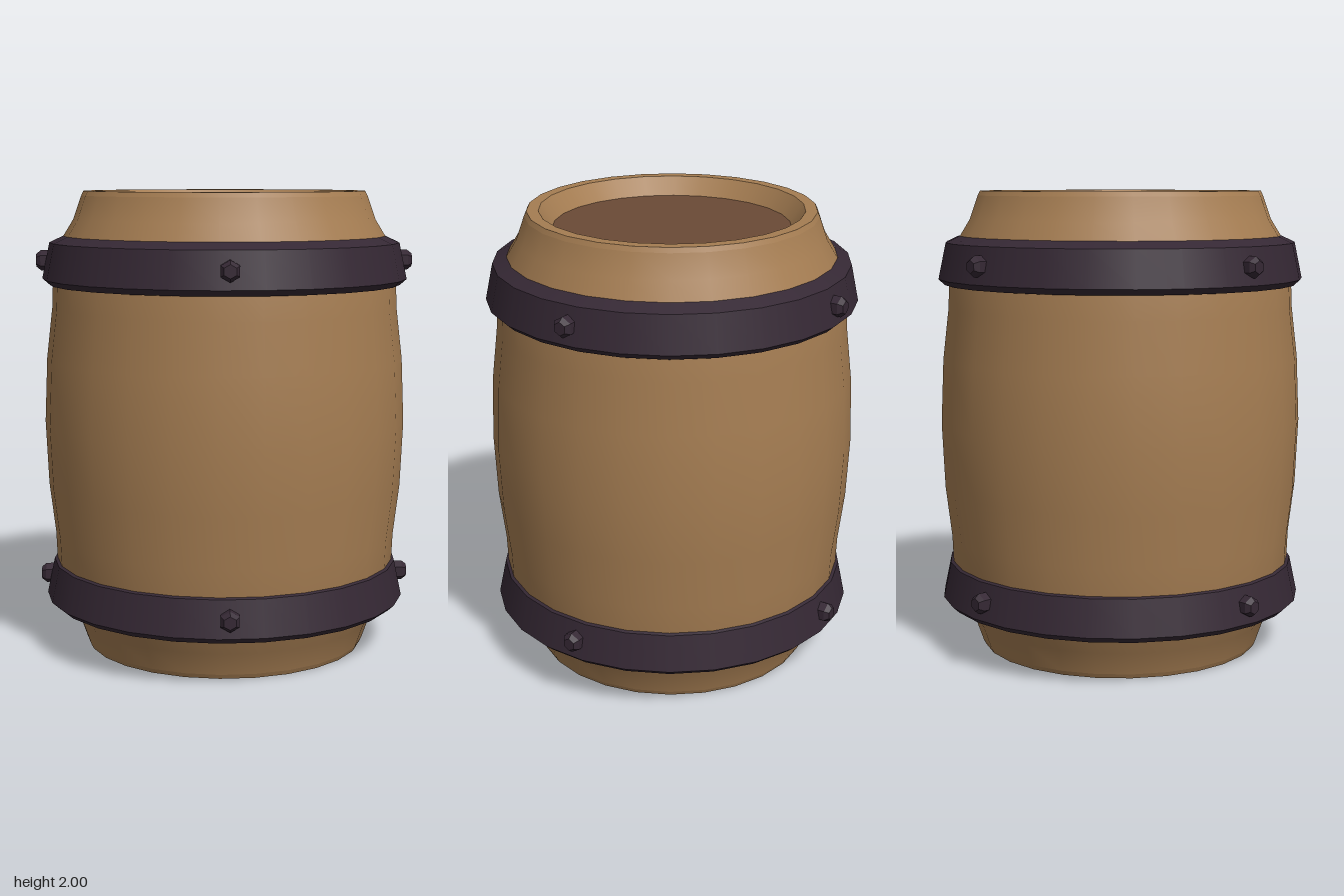
import * as THREE from 'three';

const SIDES = 26;

export function createModel() {
  const barrel = new THREE.Group();
  barrel.name = 'barrel';

  const wood = new THREE.MeshStandardMaterial({ color: 0xa57d52 });
  wood.name = 'tan wood';
  const darkWood = new THREE.MeshStandardMaterial({ color: 0x6b4a36 });
  darkWood.name = 'dark wood';
  const iron = new THREE.MeshStandardMaterial({ color: 0x352834 });
  iron.name = 'dark iron';

  // Adds one smooth surface of revolution from [radius, height] pairs
  function lathe(name, profile, material, parent) {
    const points = profile.map(([r, y]) => new THREE.Vector2(r, y));
    const mesh = new THREE.Mesh(new THREE.LatheGeometry(points, SIDES, Math.PI / 2), material);
    mesh.name = name;
    parent.add(mesh);
  }

  // One lathe per profile segment keeps the edges between them sharp
  function creasedLathe(name, profile, material, parent) {
    for (let i = 1; i < profile.length; i++) {
      lathe(name, [profile[i - 1], profile[i]], material, parent);
    }
  }

  // Bulging wall of staves
  lathe('staves', [
    [0.62, 0.02], [0.655, 0.12], [0.71, 0.21], [0.745, 0.32], [0.752, 0.5],
    [0.778, 0.72], [0.79, 1.0], [0.778, 1.28], [0.752, 1.5], [0.745, 1.68],
    [0.71, 1.79], [0.655, 1.88], [0.62, 1.98],
  ], wood, barrel);

  // Rims with recessed ends
  creasedLathe('topRim', [[0.62, 1.98], [0.61, 2], [0.56, 2], [0.5, 1.92]], wood, barrel);
  creasedLathe('bottomRim', [[0.565, 0.03], [0.57, 0], [0.61, 0], [0.62, 0.02]], wood, barrel);

  // Round end boards
  function endBoard(name, radius, y, tilt) {
    const mesh = new THREE.Mesh(new THREE.CircleGeometry(radius, SIDES), darkWood);
    mesh.name = name;
    mesh.rotation.x = tilt;
    mesh.position.y = y;
    barrel.add(mesh);
  }
  endBoard('lid', 0.51, 1.925, -Math.PI / 2);
  endBoard('bottomBoard', 0.565, 0.03, Math.PI / 2);

  // Iron hoops, each with four hexagonal bolts
  for (const [name, y] of [['bottomHoop', 0.2], ['topHoop', 1.6]]) {
    const hoop = new THREE.Group();
    hoop.name = name;
    hoop.position.y = y;
    barrel.add(hoop);
    creasedLathe('hoopBand', [
      [0.7, 0], [0.765, 0], [0.793, 0.025], [0.76, 0.18], [0.7, 0.208],
    ], iron, hoop);

    for (let i = 0; i < 4; i++) {
      const pivot = new THREE.Group();
      pivot.name = 'bolt';
      pivot.rotation.y = Math.PI / 4 + i * Math.PI / 2;
      const geometry = new THREE.CylinderGeometry(0.028, 0.044, 0.02, 6).translate(0, 0.04, 0);
      const shank = new THREE.CylinderGeometry(0.044, 0.044, 0.06, 6);
      for (const [part, shape] of [['boltHead', geometry], ['boltShank', shank]]) {
        const mesh = new THREE.Mesh(shape.toNonIndexed(), iron);
        mesh.geometry.computeVertexNormals();
        mesh.name = part;
        mesh.rotation.x = Math.PI / 2;
        mesh.position.set(0, 0.1, 0.77);
        pivot.add(mesh);
      }
      hoop.add(pivot);
    }
  }
  return barrel;
}
